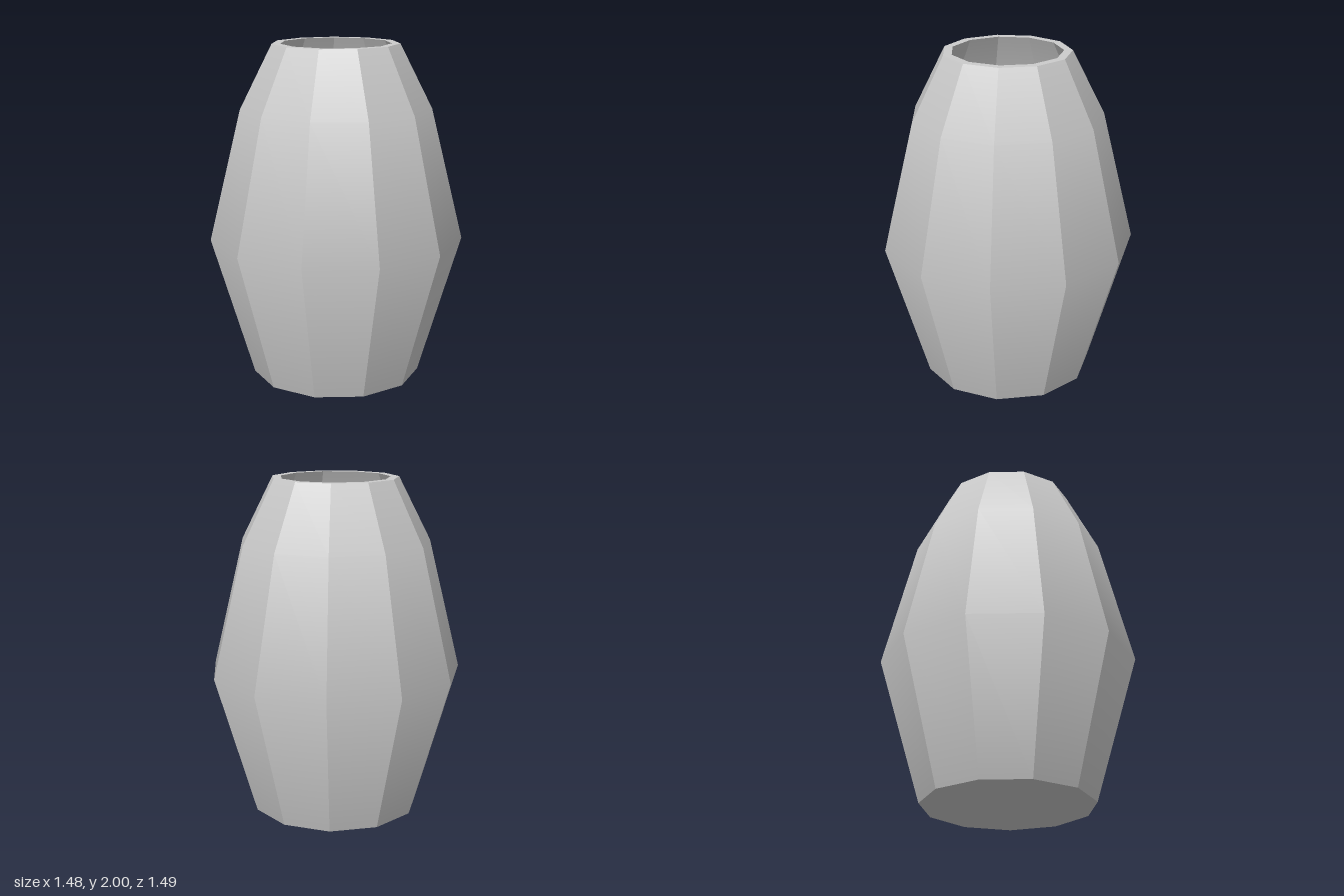
import * as THREE from 'three';
import { mergeGeometries } from 'three/addons/utils/BufferGeometryUtils.js';

const SIDES = 11;
const STEP = (Math.PI * 2) / SIDES;

// Revolve a profile into flat panels: sharp between panels, smooth along the profile.
function panelledLathe(profile) {
  const points = profile.map(([r, y]) => new THREE.Vector2(r, y));
  const panels = [];
  for (let i = 0; i < SIDES; i++) {
    const start = Math.PI / 2 + i * STEP;
    const mid = start + STEP / 2;
    const panel = new THREE.LatheGeometry(points, 1, start, STEP);
    const normal = panel.attributes.normal;
    for (let v = 0; v < normal.count; v++) {
      // Turn each edge normal to the middle of its panel
      const phi = v < points.length ? start : start + STEP;
      const radial = normal.getX(v) * Math.sin(phi) + normal.getZ(v) * Math.cos(phi);
      normal.setXYZ(v, radial * Math.sin(mid), normal.getY(v), radial * Math.cos(mid));
    }
    panels.push(panel);
  }
  return mergeGeometries(panels);
}

export function createModel() {
  const vase = new THREE.Group();
  vase.name = 'vase';
  const material = new THREE.MeshStandardMaterial({ color: 0xcccccc });

  const outer = [[0.505, 0], [0.755, 0.85], [0.565, 1.625], [0.375, 2]];
  const inner = [[0.325, 2], [0.515, 1.61], [0.705, 0.85], [0.47, 0.05]];

  const parts = {
    outerWall: outer,
    rim: [outer[3], inner[0]],
    innerWall: inner,
    innerFloor: [inner[3], [0, 0.05]],
    base: [[0, 0], outer[0]],
  };
  for (const [name, profile] of Object.entries(parts)) {
    const mesh = new THREE.Mesh(panelledLathe(profile), material);
    mesh.name = name;
    vase.add(mesh);
  }

  // An odd number of sides sits off-centre, so shift it back
  vase.position.x = -0.015;
  return vase;
}
